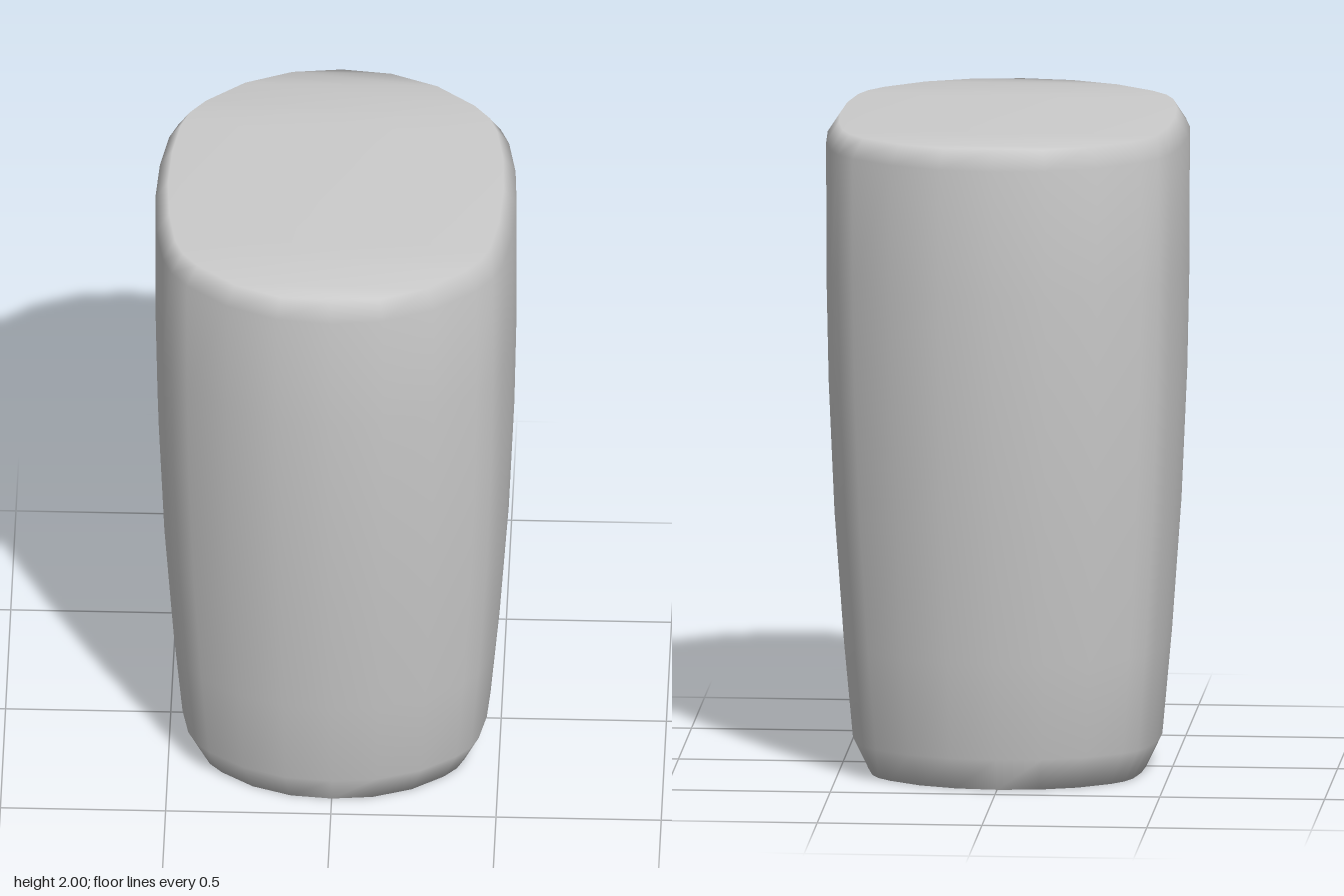
import * as THREE from 'three';

// One quarter of the outline, from the front middle to the left middle, as fractions of half width and half depth
const QUARTER = [
  [0, 1], [0.295, 0.971], [0.572, 0.871], [0.8, 0.71],
  [0.89, 0.61], [0.94, 0.5], [0.984, 0.272], [1, 0],
];
// Levels from base to top: [y, half width, half depth]
const LEVELS = [
  [0, 0.42, 0.422], [0.1, 0.468, 0.467], [0.4, 0.495, 0.508], [0.8, 0.523, 0.557],
  [1.2, 0.54, 0.592], [1.55, 0.547, 0.611], [1.94, 0.547, 0.62], [2, 0.508, 0.587],
];

// Mirrors the quarter into a closed loop
function outline() {
  const back = QUARTER.slice(0, -1).reverse().map(([x, z]) => [x, -z]);
  const half = [...QUARTER, ...back];
  const otherHalf = half.slice(1, -1).reverse().map(([x, z]) => [-x, z]);
  return [...half, ...otherHalf];
}

function loftGeometry() {
  const loop = outline();
  const n = loop.length;
  const positions = [];
  const index = [];
  for (const [y, w, d] of LEVELS) {
    for (const [x, z] of loop) positions.push(x * w, y, z * d);
  }
  // Walls with bevelled base and rim
  for (let r = 0; r < LEVELS.length - 1; r++) {
    for (let i = 0; i < n; i++) {
      const a = r * n + i;
      const b = r * n + ((i + 1) % n);
      index.push(a, b, b + n, a, b + n, a + n);
    }
  }
  // Flat caps, filled in strips from side to side; they share the rim for soft shading
  const top = (LEVELS.length - 1) * n;
  const addCapTriangle = (a, b, c) => {
    index.push(top + a, top + b, top + c);
    index.push(c, b, a);
  };
  for (let i = 0; i < n / 2; i++) {
    if (i < n / 2 - 1) addCapTriangle(i, i + 1, n - i - 1);
    else addCapTriangle(i, i + 1, n - i);
    if (i > 0 && i < n / 2 - 1) addCapTriangle(i, n - i - 1, n - i);
  }
  const geometry = new THREE.BufferGeometry();
  geometry.setAttribute('position', new THREE.Float32BufferAttribute(positions, 3));
  geometry.setIndex(index);
  geometry.computeVertexNormals();
  return geometry;
}

export function createModel() {
  const group = new THREE.Group();
  group.name = 'taperedBlock';
  const body = new THREE.Mesh(
    loftGeometry(),
    new THREE.MeshStandardMaterial({ color: 0xcccccc }),
  );
  body.name = 'body';
  group.add(body);
  return group;
}
